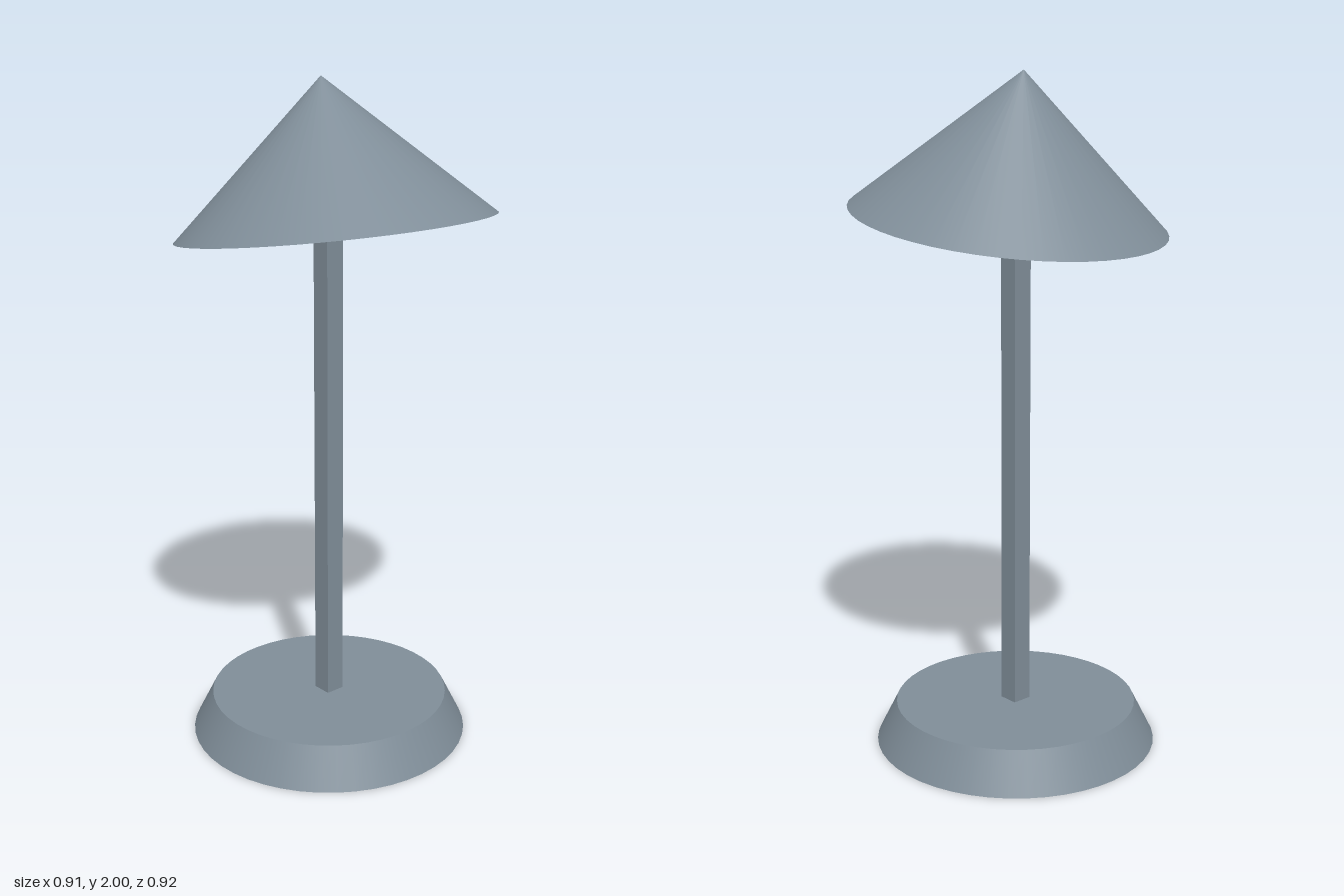
import * as THREE from 'three';

export function createModel() {
  const lamp = new THREE.Group();
  lamp.name = 'tableLamp';

  const metal = new THREE.MeshStandardMaterial({ color: 0x7f8d98, side: THREE.DoubleSide });
  metal.name = 'blueGreyMetal';

  const axisX = -0.035; // the post and base share this axis
  const add = (name, geometry, y) => {
    const mesh = new THREE.Mesh(geometry, metal);
    mesh.name = name;
    mesh.position.set(axisX, y, 0);
    lamp.add(mesh);
    return mesh;
  };

  // Tapered round foot
  const baseHeight = 0.12;
  add('base', new THREE.CylinderGeometry(0.363, 0.423, baseHeight, 48), baseHeight / 2);

  // Square post, ending inside the shade
  const postTop = 1.69;
  add('post', new THREE.BoxGeometry(0.06, postTop - baseHeight, 0.06), (postTop + baseHeight) / 2);

  // Open conical shade, tilted sideways
  const shade = add('shade', new THREE.ConeGeometry(0.461, 0.42, 48, 1, true), 1.792);
  shade.rotation.z = 0.15;

  return lamp;
}
